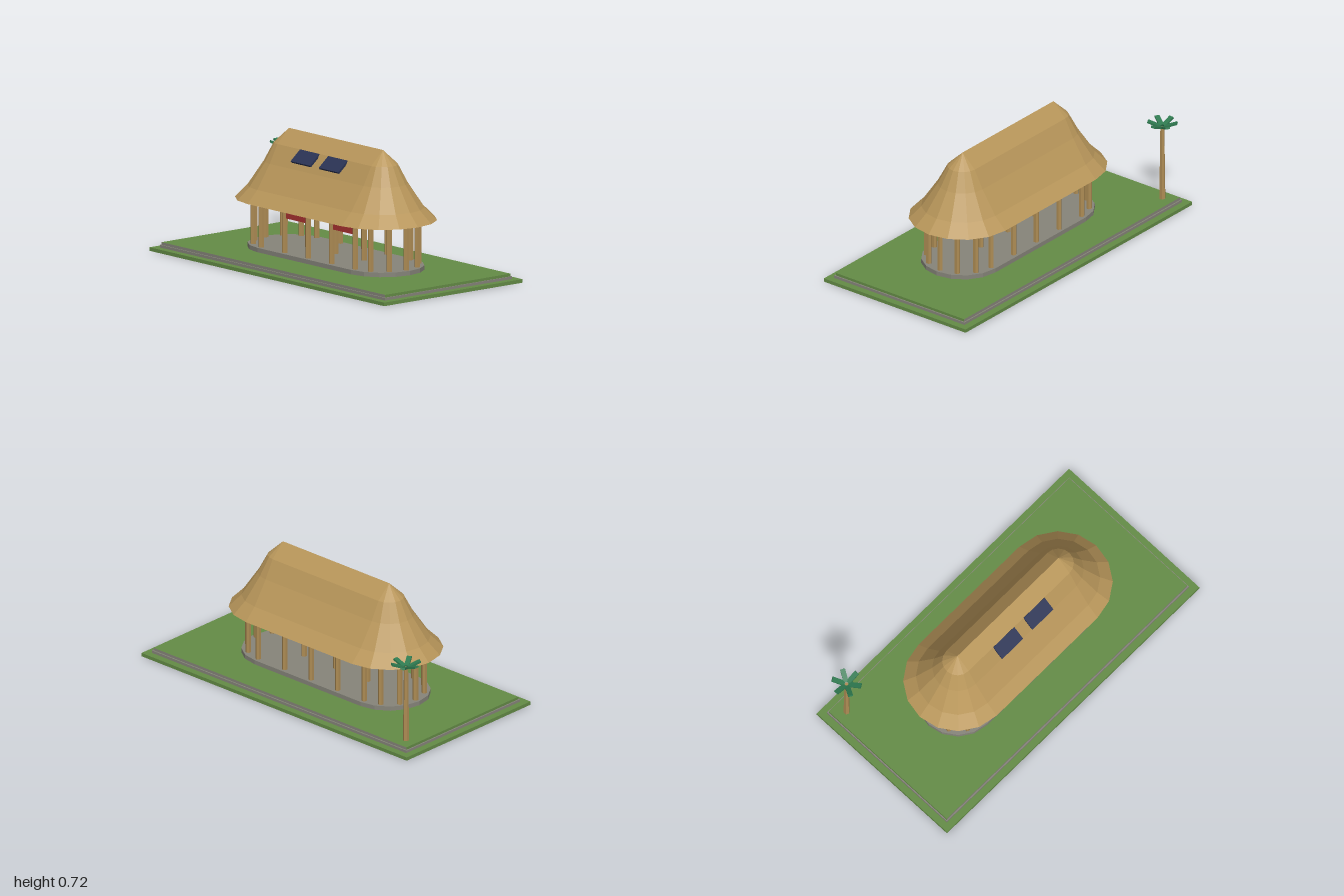
import * as THREE from 'three';

const mat = (name, color) => {
  const m = new THREE.MeshStandardMaterial({ color, flatShading: true });
  m.name = name;
  return m;
};

// Loft of stadium-shaped rings: levels are [radius, y], straight part runs x = -0.4..0.4
function stadiumLoft(levels, half = 0.4, seg = 8) {
  const rings = levels.map(([r, y]) => {
    const ring = [];
    for (const side of [1, -1]) {
      for (let i = 0; i <= seg; i++) {
        const a = -Math.PI / 2 + (Math.PI * i) / seg;
        ring.push([side * (half + r * Math.cos(a)), y, side * r * Math.sin(a)]);
      }
    }
    return ring;
  });
  const pos = [];
  const tri = (a, b, c) => pos.push(...a, ...b, ...c);
  const n = rings[0].length;
  const last = rings.length - 1;
  for (let i = 0; i < n; i++) {
    const j = (i + 1) % n;
    for (let k = 0; k < last; k++) {
      const lo = rings[k], hi = rings[k + 1];
      tri(lo[i], hi[i], hi[j]);
      tri(lo[i], hi[j], lo[j]);
    }
    tri([0, levels[0][1], 0], rings[0][i], rings[0][j]);
    if (levels[last][0] > 0) tri([0, levels[last][1], 0], rings[last][j], rings[last][i]);
  }
  const g = new THREE.BufferGeometry();
  g.setAttribute('position', new THREE.Float32BufferAttribute(pos, 3));
  g.computeVertexNormals();
  return g;
}

export function createModel() {
  const model = new THREE.Group();
  const grass = mat('grass green', 0x648c46);
  const stone = mat('stone grey', 0x86847a);
  const thatch = mat('thatch straw', 0xb8965a);
  const wood = mat('post wood', 0xae8c54);
  const red = mat('banner red', 0xa83230);
  const navy = mat('panel navy', 0x2a3354);
  const leaf = mat('palm green', 0x2f7a50);

  const add = (name, geo, material, x = 0, y = 0, z = 0, parent = model) => {
    const m = new THREE.Mesh(geo, material);
    m.name = name;
    m.position.set(x, y, z);
    parent.add(m);
    return m;
  };

  // Stepped ground; the upper lawn has stone facing on its long sides
  add('ground', new THREE.BoxGeometry(2, 0.02, 1), grass, 0, 0.01, 0);
  add('stoneStep', new THREE.BoxGeometry(1.92, 0.015, 0.92), stone, 0, 0.0275, 0);
  add('lawn', new THREE.BoxGeometry(1.906, 0.015, 0.906),
    [grass, grass, grass, grass, stone, stone], 0, 0.0425, 0);

  // Hall floor and thatched roof
  add('hallFloor', stadiumLoft([[0.23, 0.05], [0.23, 0.075]]), stone);
  add('roof', stadiumLoft([[0.3, 0.33], [0.23, 0.4], [0.14, 0.535], [0.085, 0.64], [0, 0.72]]), thatch);

  // Posts: two straight rows, rounded ends and a centre row
  const posts = new THREE.Group();
  posts.name = 'posts';
  model.add(posts);
  const postGeo = new THREE.CylinderGeometry(0.016, 0.016, 0.255, 6);
  const post = (x, z) => add('post', postGeo, wood, x, 0.2025, z, posts);
  for (const side of [1, -1]) {
    for (let i = -2; i <= 2; i++) post(i * 0.2, side * 0.2);
    for (let i = -2; i <= 2; i++) {
      const a = (i * Math.PI) / 6;
      post(side * (0.4 + 0.2 * Math.cos(a)), 0.2 * Math.sin(a));
    }
  }
  for (const x of [-0.24, 0, 0.24]) post(x, 0);

  // Red banners hung between posts, front and back
  const bannerGeo = new THREE.BoxGeometry(0.18, 0.045, 0.009);
  for (const z of [0.2, -0.2]) {
    for (const x of [-0.1, 0.3]) add('banner', bannerGeo, red, x, 0.2925, z);
  }

  // Tilted roof panels
  const panelGeo = new THREE.BoxGeometry(0.165, 0.012, 0.09);
  for (const x of [-0.122, 0.118]) {
    add('roofPanel', panelGeo, navy, x, 0.607, 0.117).rotation.x = 0.7;
  }

  // Palm tree with six raised fronds
  const palm = new THREE.Group();
  palm.name = 'palm';
  palm.position.set(-0.885, 0.05, -0.382);
  model.add(palm);
  add('trunk', new THREE.CylinderGeometry(0.012, 0.018, 0.44, 6), wood, 0, 0.22, 0, palm);
  const frondGeo = new THREE.BoxGeometry(0.075, 0.011, 0.028);
  for (let i = 0; i < 6; i++) {
    const arm = new THREE.Group();
    arm.name = 'frondArm';
    arm.rotation.y = (i * Math.PI) / 3;
    palm.add(arm);
    add('frond', frondGeo, leaf, 0.047, 0.457, 0, arm).rotation.z = 0.35;
  }
  return model;
}
